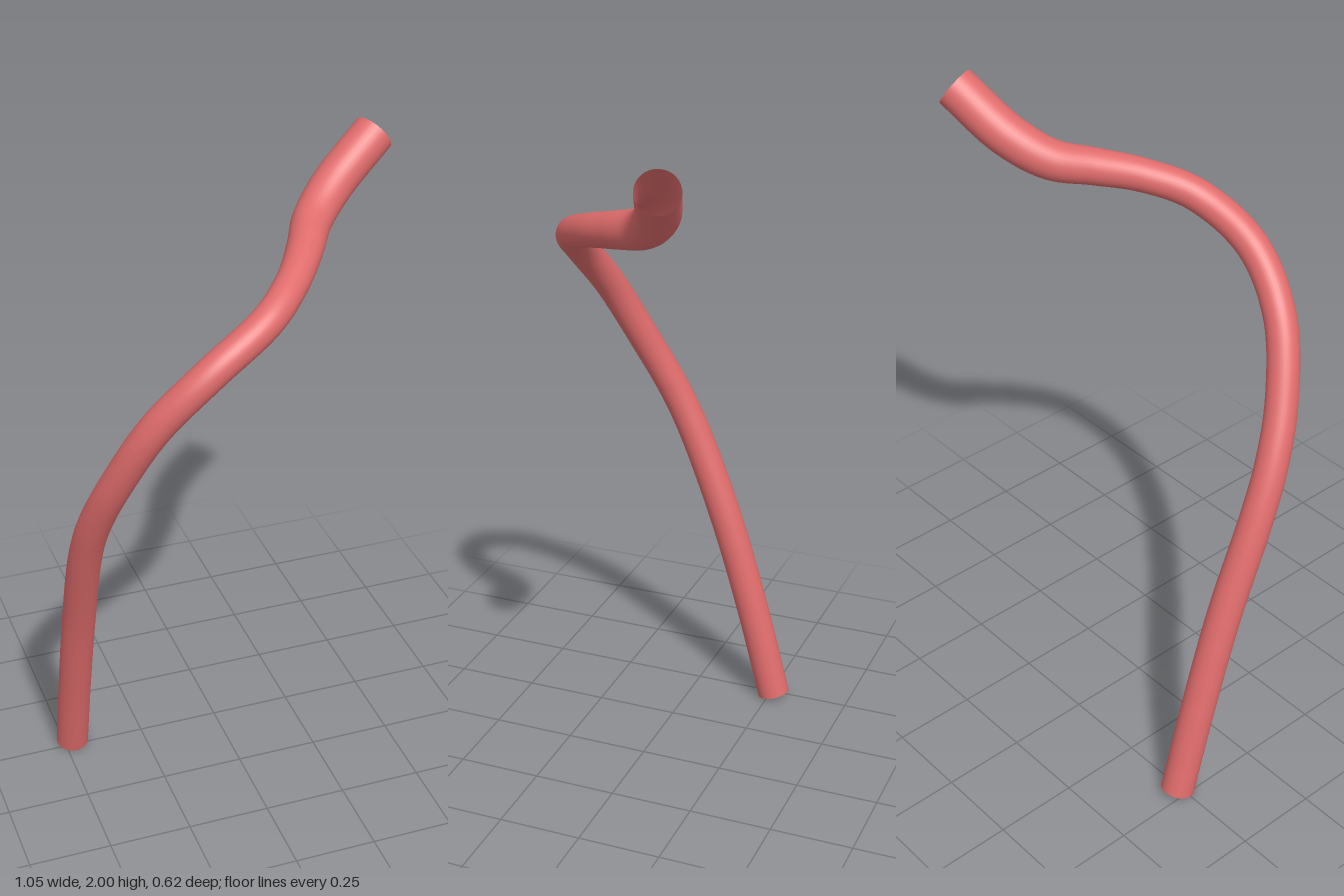
import * as THREE from 'three';

// centre line of the bent tube, from the foot to the open upper end
const PATH = [
  [-0.475, 0.013, -0.265], [-0.475, 0.3, -0.188], [-0.475, 0.6, -0.095],
  [-0.475, 0.9, 0.022], [-0.46, 1.04, 0.085], [-0.415, 1.2, 0.16],
  [-0.32, 1.4, 0.235], [-0.175, 1.55, 0.263], [0, 1.652, 0.215],
  [0.11, 1.705, 0.115], [0.19, 1.742, 0], [0.25, 1.775, -0.1],
  [0.34, 1.84, -0.175], [0.486, 1.95, -0.235],
];

// radius along the tube: slightly slimmer in the middle, wider at the upper end
function radiusAt(u) {
  return 0.05 - 0.003 * THREE.MathUtils.smoothstep(u, 0.2, 0.5)
    + 0.014 * THREE.MathUtils.smoothstep(u, 0.75, 0.95);
}

export function createModel() {
  const group = new THREE.Group();
  group.name = 'bentTube';

  const curve = new THREE.CatmullRomCurve3(PATH.map((p) => new THREE.Vector3(...p)), false, 'centripetal');
  const segments = 120, sides = 32;
  const geometry = new THREE.TubeGeometry(curve, segments, 1, sides, false);

  // scale each unit ring about its centre to the local radius
  const pos = geometry.attributes.position;
  const v = new THREE.Vector3();
  for (let i = 0; i <= segments; i++) {
    const u = i / segments;
    const centre = curve.getPointAt(u);
    for (let j = 0; j <= sides; j++) {
      const k = i * (sides + 1) + j;
      v.fromBufferAttribute(pos, k).sub(centre).multiplyScalar(radiusAt(u)).add(centre);
      pos.setXYZ(k, v.x, v.y, v.z);
    }
  }

  // open at both ends, so the inside shows
  const tube = new THREE.Mesh(geometry, new THREE.MeshStandardMaterial({ color: 0xe06c6c, side: THREE.DoubleSide }));
  tube.name = 'tube';
  group.add(tube);
  return group;
}
